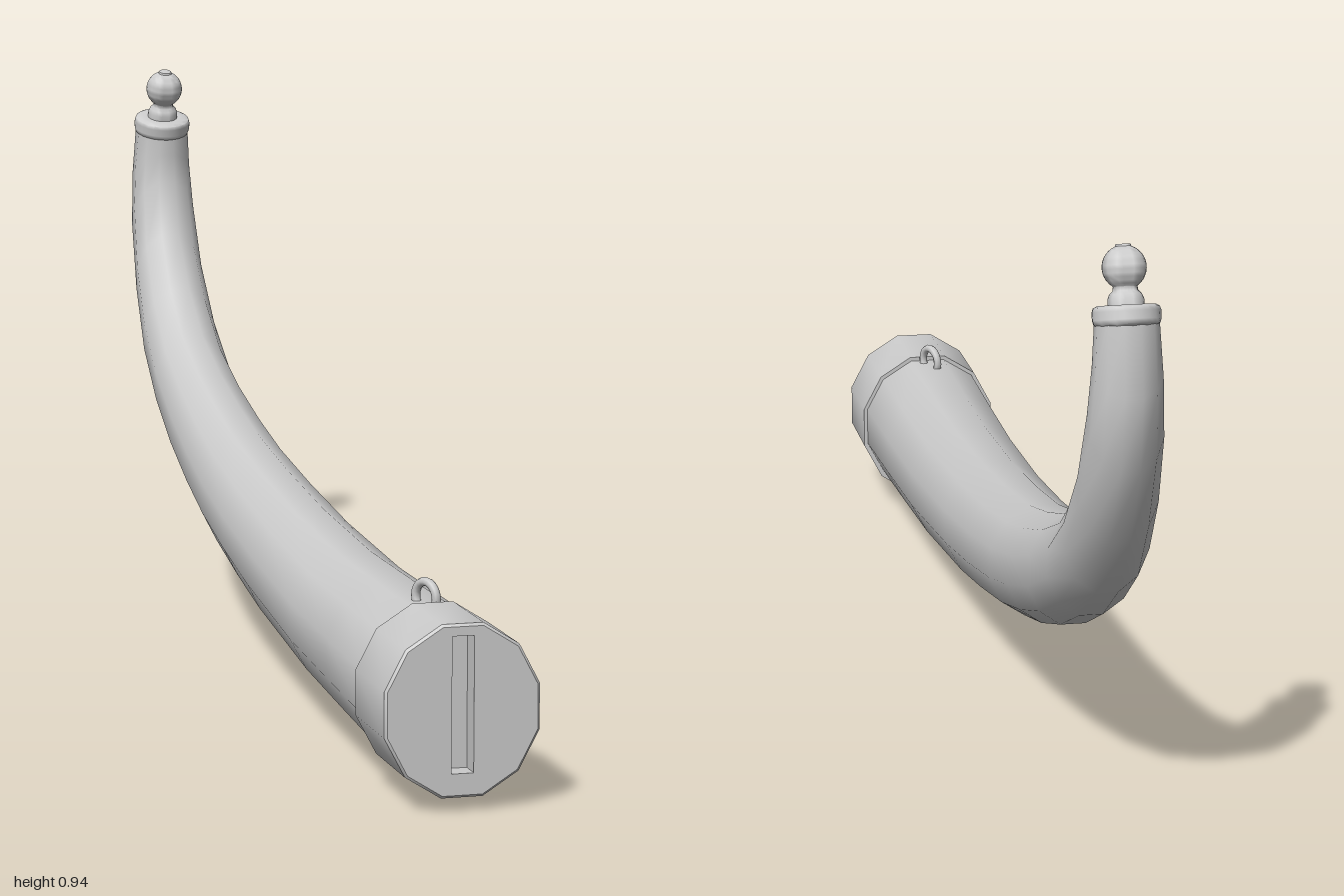
import * as THREE from 'three';
import { toCreasedNormals } from 'three/addons/utils/BufferGeometryUtils.js';

const SIDES = 12;
const FLAT = Math.cos(Math.PI / SIDES); // flat-to-corner ratio of the 12-sided section
const material = new THREE.MeshStandardMaterial({ color: 0xcccccc });

function part(name, geometry, parent) {
  const mesh = new THREE.Mesh(geometry, material);
  mesh.name = name;
  parent.add(mesh);
  return mesh;
}

const corner = (j) => ((j + 0.5) / SIDES) * Math.PI * 2;

// Skin through 12-sided rings: [topZ, topY, bottomZ, bottomY, halfWidth]
function loft(sections) {
  const pos = [], index = [];
  sections.forEach(([tz, ty, bz, by, hx], i) => {
    for (let j = 0; j < SIDES; j++) {
      const a = corner(j), s = Math.sin(a) / FLAT / 2;
      pos.push(Math.cos(a) * hx / FLAT, (ty + by) / 2 + s * (ty - by), (tz + bz) / 2 + s * (tz - bz));
      if (i === sections.length - 1) continue;
      const k = (j + 1) % SIDES, p = i * SIDES, q = p + SIDES;
      index.push(p + j, q + j, p + k, p + k, q + j, q + k);
    }
  });
  const g = new THREE.BufferGeometry();
  g.setAttribute('position', new THREE.Float32BufferAttribute(pos, 3));
  g.setIndex(index);
  g.computeVertexNormals();
  return g;
}

export function createModel() {
  const model = new THREE.Group();
  model.name = 'powderHorn';

  // Curved, tapering body
  part('hornBody', loft([
    [0.86, 0.283, 0.86, 0.037, 0.114],
    [0.63, 0.282, 0.63, 0.050, 0.109],
    [0.40, 0.283, 0.39, 0.065, 0.104],
    [0.12, 0.301, 0.06, 0.100, 0.096],
    [-0.12, 0.328, -0.09, 0.123, 0.091],
    [-0.31, 0.357, -0.26, 0.153, 0.085],
    [-0.44, 0.387, -0.40, 0.187, 0.080],
    [-0.57, 0.424, -0.55, 0.235, 0.075],
    [-0.70, 0.475, -0.69, 0.297, 0.070],
    [-0.80, 0.550, -0.81, 0.373, 0.066],
    [-0.872, 0.640, -0.90, 0.480, 0.061],
    [-0.897, 0.735, -0.975, 0.610, 0.056],
    [-0.899, 0.785, -0.997, 0.730, 0.051],
    [-0.895, 0.830, -0.982, 0.853, 0.046],
  ]), model);

  // Base cap with a slightly bevelled rim and a back lip
  const cap = new THREE.Group();
  cap.name = 'baseCap';
  model.add(cap);
  const ring = (z, inset) => [z, 0.29 - inset, z, 0.027 + inset, 0.12 - inset];
  part('capSide', toCreasedNormals(loft([
    ring(1, 0.004), ring(0.996, 0), ring(0.84, 0), ring(0.84, 0.012),
  ]), 0.6), cap);

  // Slotted end face
  const face = new THREE.Shape();
  for (let j = 0; j < SIDES; j++) {
    const x = Math.cos(corner(j)) * 0.116 / FLAT;
    const y = 0.1585 + Math.sin(corner(j)) * 0.1275 / FLAT;
    j ? face.lineTo(x, y) : face.moveTo(x, y);
  }
  face.closePath();
  const slot = new THREE.Path();
  slot.moveTo(-0.017, 0.064).lineTo(-0.017, 0.272).lineTo(0.017, 0.272).lineTo(0.017, 0.064).closePath();
  face.holes.push(slot);
  const depth = 0.035;
  part('capFace', new THREE.ExtrudeGeometry(face, { depth, bevelEnabled: false }), cap)
    .position.z = 1 - depth;
  part('slotFloor', new THREE.PlaneGeometry(0.034, 0.208), cap)
    .position.set(0, 0.168, 1 - depth);

  // Strap rings above and below
  for (const [name, y] of [['upperStrapRing', 0.291], ['lowerStrapRing', 0.036]]) {
    const loop = part(name, new THREE.TorusGeometry(0.024, 0.007, 8, 20), model);
    loop.position.set(0, y, 0.805);
    loop.rotation.y = -1.15;
  }

  // Spout collar and ball stopper share a tilted axis
  const spout = new THREE.Group();
  spout.name = 'spout';
  spout.position.set(0, 0.841, -0.937);
  spout.rotation.x = 0.28;
  model.add(spout);
  const lathe = (points) =>
    new THREE.LatheGeometry(points.map(([r, y]) => new THREE.Vector2(r, y)), 24);

  part('collar', toCreasedNormals(lathe([
    [0, -0.017], [0.043, -0.017], [0.049, -0.013], [0.051, -0.006], [0.051, 0.006],
    [0.049, 0.012], [0.043, 0.015], [0.03, 0.015], [0, 0.013],
  ]), 0.8), spout);

  const stopper = [[0.027, 0.008], [0.027, 0.024], [0.024, 0.031], [0.019, 0.036], [0.018, 0.042]];
  for (let i = 0; i <= 12; i++) {
    const a = -0.98 + (i / 12) * 2.18;
    stopper.push([Math.cos(a) * 0.033, 0.07 + Math.sin(a) * 0.033]);
  }
  stopper.push([0.011, 0.104], [0, 0.104]);
  part('stopper', toCreasedNormals(lathe(stopper), 0.8), spout);

  return model;
}
